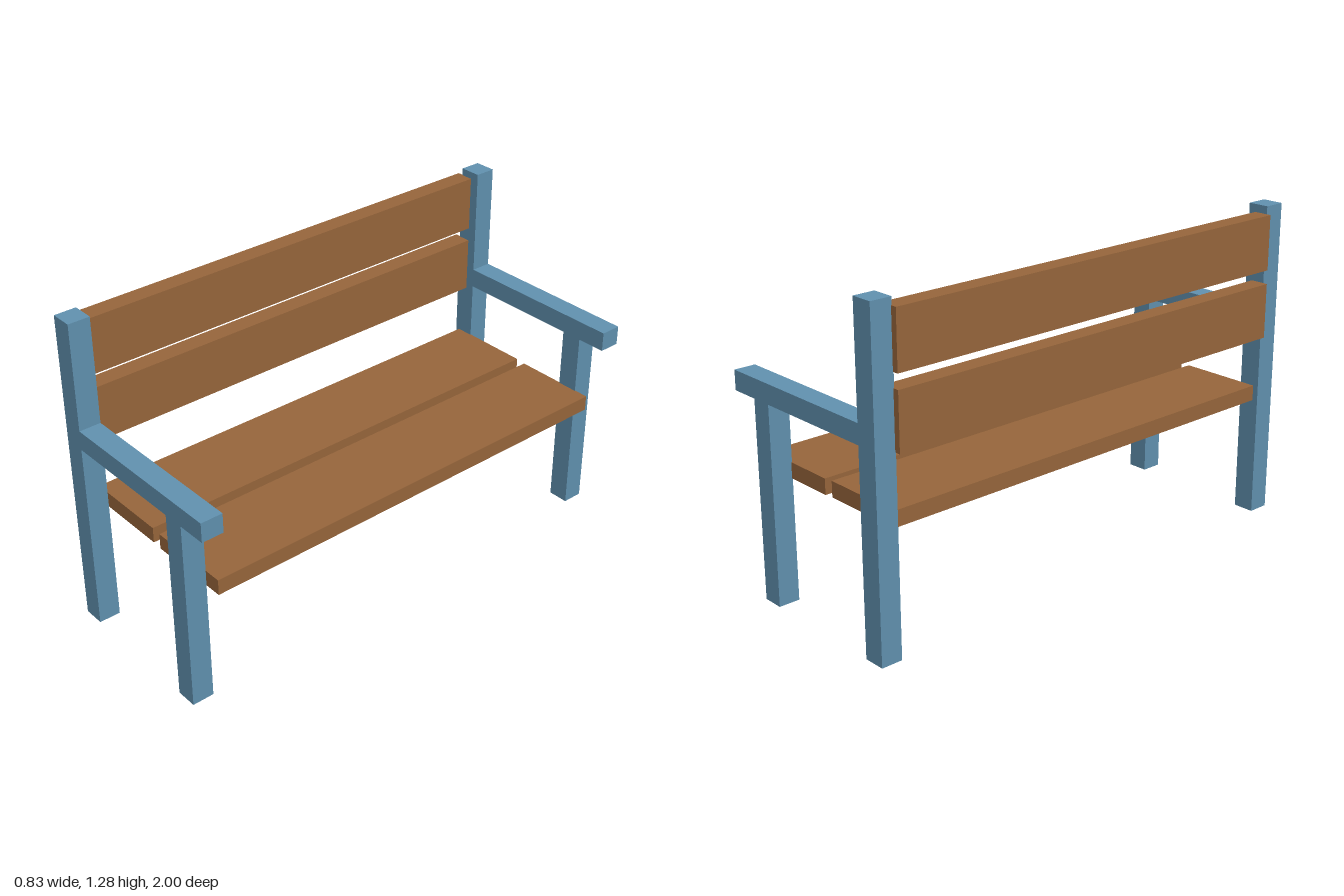
import * as THREE from 'three';

export function createModel() {
  const group = new THREE.Group();
  group.name = 'bench';

  const bluePaint = new THREE.MeshStandardMaterial({ color: 0x6090ae });
  bluePaint.name = 'blue paint';
  const brownWood = new THREE.MeshStandardMaterial({ color: 0x96653b });
  brownWood.name = 'brown wood';

  // Box given by its extents along each axis
  function beam(name, material, [x0, x1], [y0, y1], [z0, z1], parent = group) {
    const mesh = new THREE.Mesh(new THREE.BoxGeometry(x1 - x0, y1 - y0, z1 - z0), material);
    mesh.position.set((x0 + x1) / 2, (y0 + y1) / 2, (z0 + z1) / 2);
    mesh.name = name;
    parent.add(mesh);
  }

  // End frames: tall back post, short front leg and armrest
  for (const [name, z] of [['nearEndFrame', [0.913, 1]], ['farEndFrame', [-1, -0.915]]]) {
    const frame = new THREE.Group();
    frame.name = name;
    beam('backPost', bluePaint, [-0.392, -0.305], [0, 1.278], z, frame);
    beam('frontLeg', bluePaint, [0.21, 0.295], [0, 0.777], z, frame);
    beam('armrest', bluePaint, [-0.305, 0.413], [0.777, 0.854], z, frame);
    group.add(frame);
  }

  // Boards spanning between the end frames
  const span = [-0.918, 0.905];
  beam('frontSeatBoard', brownWood, [0.009, 0.353], [0.479, 0.541], span);
  beam('backSeatBoard', brownWood, [-0.375, -0.031], [0.483, 0.545], span);
  beam('lowerBackBoard', brownWood, [-0.416, -0.342], [0.756, 0.975], span);
  beam('upperBackBoard', brownWood, [-0.416, -0.342], [1.03, 1.249], span);

  return group;
}
